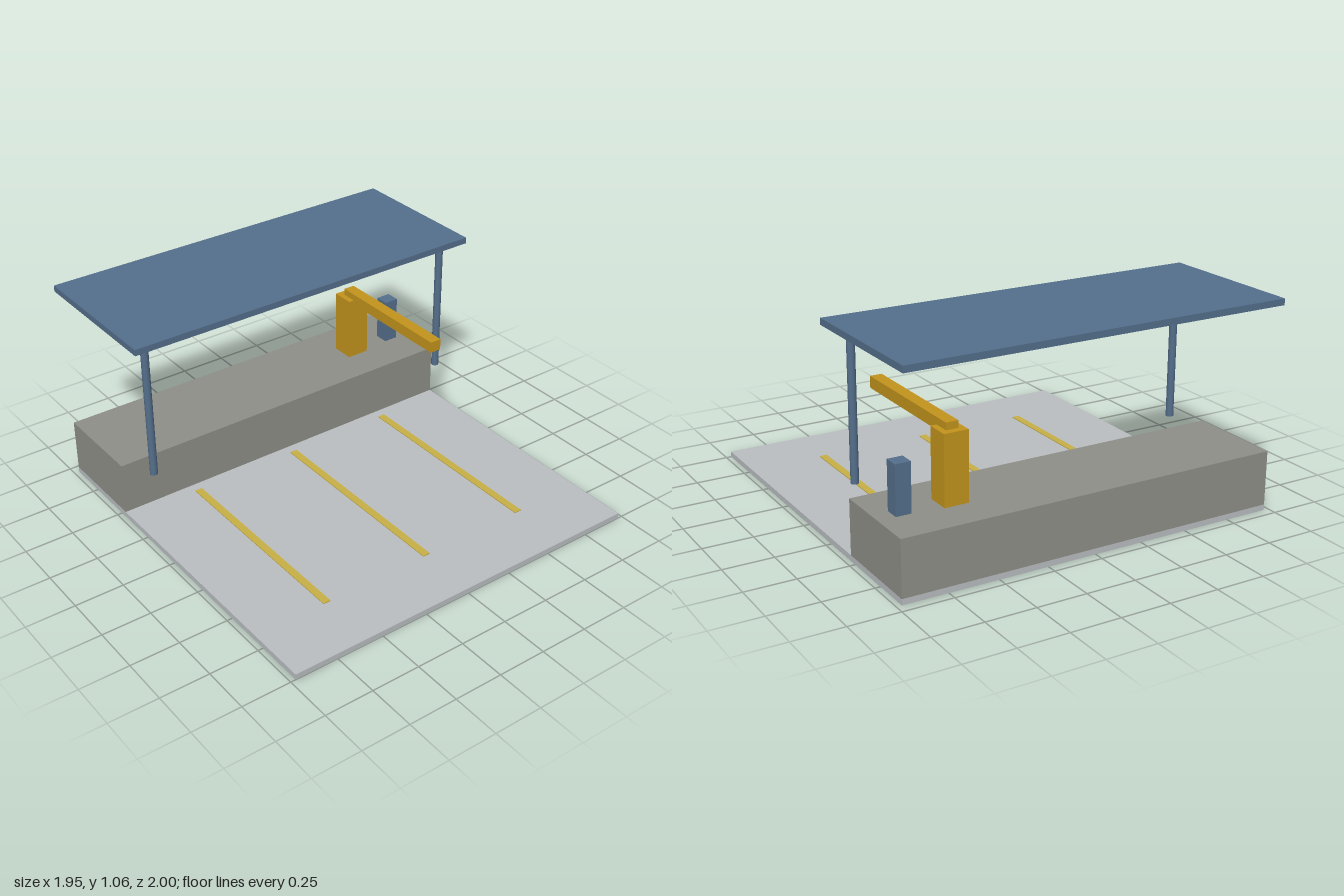
import * as THREE from 'three';

const material = (name, color) => {
  const m = new THREE.MeshStandardMaterial({ color });
  m.name = name;
  return m;
};

export function createModel() {
  const paving = material('pale concrete', 0xbabec1);
  const stone = material('grey concrete', 0x8f8f88);
  const steel = material('blue steel', 0x546f8b);
  const ochre = material('ochre paint', 0xc3941c);
  const yellow = material('line yellow', 0xc8b046);

  const model = new THREE.Group();
  model.name = 'loadingBay';

  // Box given by its extents along each axis
  const box = (name, mat, [x0, x1], [y0, y1], [z0, z1]) => {
    const mesh = new THREE.Mesh(new THREE.BoxGeometry(x1 - x0, y1 - y0, z1 - z0), mat);
    mesh.position.set((x0 + x1) / 2, (y0 + y1) / 2, (z0 + z1) / 2);
    mesh.name = name;
    model.add(mesh);
  };

  // Ground slab and raised dock
  box('groundSlab', paving, [-0.974, 0.974], [0, 0.029], [-0.95, 1]);
  box('dock', stone, [-0.974, 0.974], [0.029, 0.302], [-0.95, -0.46]);

  // Bay markings
  for (const x of [-0.585, 0, 0.585]) {
    box('bayLine', yellow, [x - 0.019, x + 0.019], [0.029, 0.034], [-0.405, 0.695]);
  }

  // Canopy on two round posts
  box('canopyRoof', steel, [-0.974, 0.974], [1.03, 1.062], [-1, -0.22]);
  for (const side of [-1, 1]) {
    const post = new THREE.Mesh(new THREE.CylinderGeometry(0.0195, 0.0195, 0.73, 16), steel);
    post.position.set(side * 0.877, 0.667, -0.315);
    post.name = 'canopyPost';
    model.add(post);
  }

  // Crane column with its forward arm
  box('craneColumn', ochre, [0.546, 0.667], [0.302, 0.642], [-0.766, -0.646]);
  box('craneArm', ochre, [0.576, 0.637], [0.618, 0.677], [-0.73, 0]);

  // Control cabinet
  box('controlCabinet', steel, [0.814, 0.89], [0.302, 0.542], [-0.743, -0.668]);

  return model;
}
